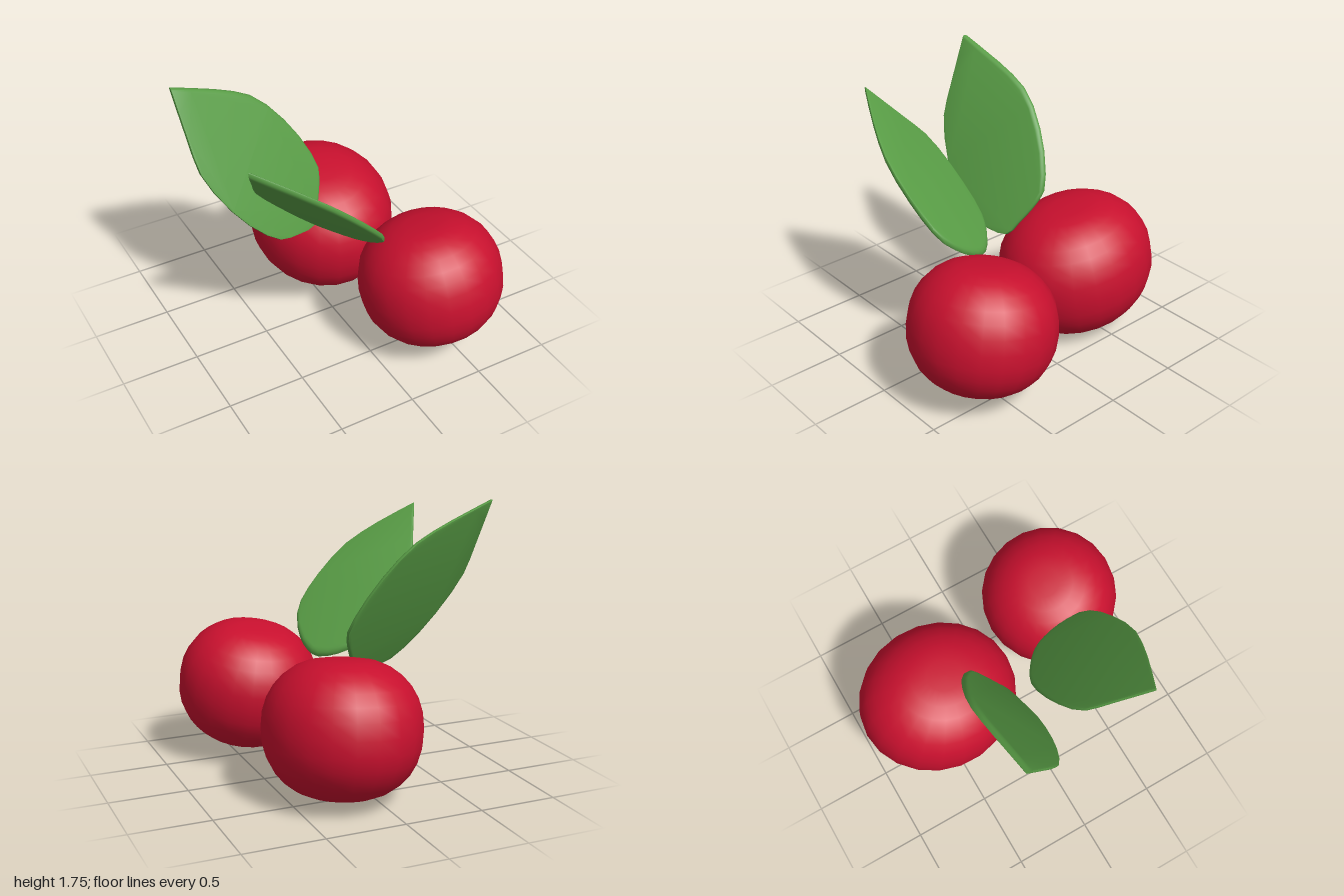
import * as THREE from 'three';
import { mergeVertices, toCreasedNormals } from 'three/addons/utils/BufferGeometryUtils.js';

const cherryRed = new THREE.MeshStandardMaterial({ color: 0xc8102e });
cherryRed.name = 'cherryRed';
const leafGreen = new THREE.MeshStandardMaterial({ color: 0x589c45 });
leafGreen.name = 'leafGreen';

// Rounded fruit with flattened poles, tilted, then fitted to the box min..max
function makeCherry(name, tiltX, tiltZ, stretchZ, min, max) {
  const steps = 16, power = 2 / 2.2, profile = [];
  for (let i = 0; i <= steps; i++) {
    const t = -Math.PI / 2 + (Math.PI * i) / steps;
    const r = i % steps ? Math.pow(Math.cos(t), power) : 0;
    const y = 0.9 * Math.sign(t) * Math.pow(Math.abs(Math.sin(t)), power);
    const dimple = 0.05 * Math.exp(-((r / 0.35) ** 2));
    profile.push(new THREE.Vector2(r, y - Math.sign(t) * dimple));
  }
  let geo = new THREE.LatheGeometry(profile, 22);
  geo.deleteAttribute('uv');
  geo.deleteAttribute('normal');
  geo = mergeVertices(geo, 1e-4);
  geo.scale(1, 1, stretchZ);
  geo.rotateX(tiltX);
  geo.rotateZ(tiltZ);

  geo.center();
  const size = geo.boundingBox.getSize(new THREE.Vector3());
  const lo = new THREE.Vector3(...min), hi = new THREE.Vector3(...max);
  const scale = hi.clone().sub(lo).divide(size);
  const mid = lo.add(hi).multiplyScalar(0.5);
  geo.scale(scale.x, scale.y, scale.z);
  geo.translate(mid.x, mid.y, mid.z);
  geo.computeVertexNormals();
  const mesh = new THREE.Mesh(geo, cherryRed);
  mesh.name = name;
  return mesh;
}

// Flat plate with soft edges; the first outline point is the sharp tip
function leafPlate(outline, thickness) {
  const pts = outline.map(([x, y]) => new THREE.Vector2(x, y));
  const shape = new THREE.Shape();
  shape.moveTo(pts[0].x, pts[0].y);
  shape.splineThru([...pts.slice(1), pts[0].clone()]);
  const bevel = thickness * 0.3;
  const geo = new THREE.ExtrudeGeometry(shape, {
    depth: thickness - 2 * bevel, curveSegments: 2,
    bevelEnabled: true, bevelThickness: bevel, bevelSize: 0.014, bevelOffset: -0.014, bevelSegments: 2,
  });
  geo.translate(0, 0, bevel - thickness / 2);
  return geo;
}

// Lean a plate into its plane by raising one axis with the other two
function makeLeaf(name, geo, lean) {
  const pos = geo.attributes.position, v = new THREE.Vector3();
  for (let i = 0; i < pos.count; i++) {
    lean(v.fromBufferAttribute(pos, i));
    pos.setXYZ(i, v.x, v.y, v.z);
  }
  geo.deleteAttribute('uv');
  geo.deleteAttribute('normal');
  const mesh = new THREE.Mesh(toCreasedNormals(geo, 0.8), leafGreen);
  mesh.name = name;
  return mesh;
}

export function createModel() {
  const group = new THREE.Group();
  group.name = 'cherries';

  // Fruit
  group.add(makeCherry('frontCherry', -0.2, 0.1, 1, [-0.05, 0.07, 0.08], [0.865, 0.905, 1.0]));
  group.add(makeCherry('backCherry', 0.15, 0.07, 1.12, [-0.31, 0, -1.0], [0.645, 0.877, 0.07]));

  // Back leaf, outlined in x and y
  const backPlate = leafPlate([
    [-0.87, 1.75], [-0.84, 1.45], [-0.8, 1.22], [-0.62, 0.93], [-0.4, 0.72], [-0.24, 0.675],
    [-0.09, 0.67], [-0.04, 0.75], [0.02, 0.87], [0.04, 1.0], [-0.09, 1.26], [-0.3, 1.5], [-0.55, 1.63],
  ], 0.04);
  group.add(makeLeaf('backLeaf', backPlate, (v) => { v.z += 0.217 - 0.295 * v.x - 0.494 * v.y; }));

  // Front leaf, outlined in x and -z, then laid flat
  const frontPlate = leafPlate([
    [-0.79, -0.48], [-0.55, -0.59], [-0.33, -0.655], [-0.1, -0.63], [0.04, -0.56], [0.085, -0.42],
    [0.08, -0.3], [0.04, -0.2], [-0.07, -0.1], [-0.2, -0.045], [-0.4, -0.065], [-0.59, -0.14], [-0.68, -0.28],
  ], 0.05);
  frontPlate.rotateX(-Math.PI / 2);
  group.add(makeLeaf('frontLeaf', frontPlate, (v) => { v.y += 0.635 - 0.882 * v.x + 0.604 * v.z; }));

  return group;
}
